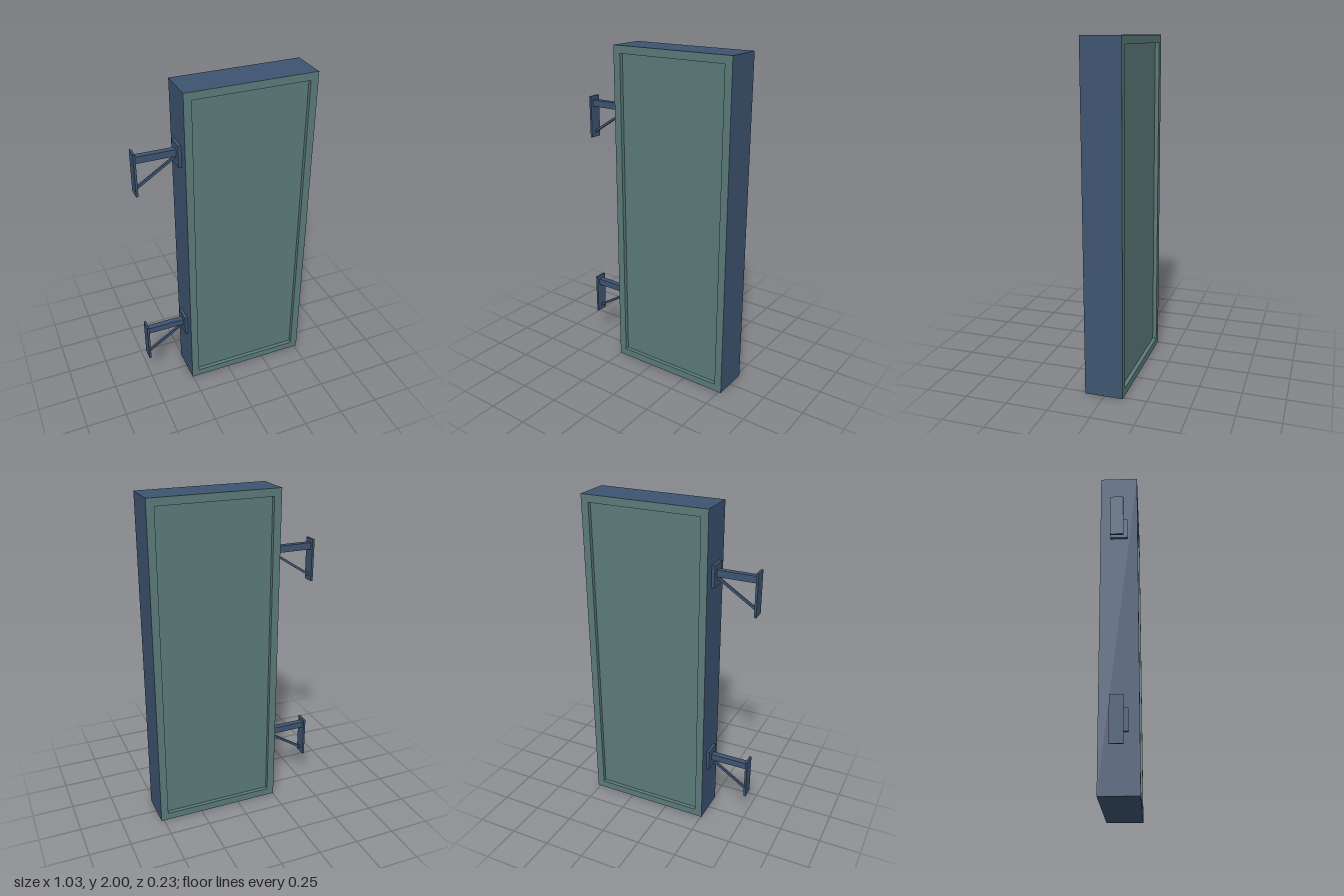
import * as THREE from 'three';

const navy = new THREE.MeshStandardMaterial({ color: 0x3d5470 });
navy.name = 'navy metal';
const green = new THREE.MeshStandardMaterial({ color: 0x5a7a78 });
green.name = 'grey green face';

const LEFT = -0.255, RIGHT = 0.517, HEIGHT = 2, DEPTH = 0.226;
const BORDER = 0.045, RECESS = 0.024;

function rectangle(path, x0, y0, x1, y1) {
  path.moveTo(x0, y0);
  path.lineTo(x1, y0);
  path.lineTo(x1, y1);
  path.lineTo(x0, y1);
  path.closePath();
  return path;
}

// Box given by its limits in x and y and its full width in z
function block(name, x0, x1, y0, y1, width, material) {
  const mesh = new THREE.Mesh(new THREE.BoxGeometry(x1 - x0, y1 - y0, width), material);
  mesh.position.set((x0 + x1) / 2, (y0 + y1) / 2, 0);
  mesh.name = name;
  return mesh;
}

// Casing: navy outside, green rims and recess walls
function createCasing() {
  const shape = rectangle(new THREE.Shape(), LEFT, 0, RIGHT, HEIGHT);
  shape.holes.push(rectangle(new THREE.Path(), LEFT + BORDER, BORDER, RIGHT - BORDER, HEIGHT - BORDER));
  const geometry = new THREE.ExtrudeGeometry(shape, { depth: DEPTH, bevelEnabled: false });
  geometry.translate(0, 0, -DEPTH / 2);
  // Side faces come outer contour first, then the hole
  const side = geometry.groups[1];
  const half = side.count / 2;
  geometry.clearGroups();
  geometry.addGroup(0, side.start, 0);
  geometry.addGroup(side.start, half, 1);
  geometry.addGroup(side.start + half, half, 0);
  const casing = new THREE.Mesh(geometry, [green, navy]);
  casing.name = 'casing';
  return casing;
}

// Wall bracket, with y measured from the middle of its arm
function createBracket(y) {
  const bracket = new THREE.Group();
  bracket.name = 'wallBracket';
  bracket.add(
    block('wallPlate', -0.517, -0.504, -0.212, 0.043, 0.074, navy),
    block('arm', -0.504, -0.273, -0.02, 0.02, 0.036, navy),
    block('mountingPlate', -0.273, LEFT, -0.075, 0.055, 0.104, navy)
  );
  // Diagonal strut from the wall plate up to the mounting plate
  const start = new THREE.Vector2(-0.508, -0.18), end = new THREE.Vector2(-0.27, -0.026);
  const strut = block('strut', 0, start.distanceTo(end), -0.007, 0.007, 0.014, navy);
  strut.position.set((start.x + end.x) / 2, (start.y + end.y) / 2, 0);
  strut.rotation.z = Math.atan2(end.y - start.y, end.x - start.x);
  bracket.add(strut);
  bracket.position.y = y;
  return bracket;
}

export function createModel() {
  const model = new THREE.Group();
  model.name = 'doubleSidedWallSign';
  model.add(createCasing());

  // Display panel, recessed on both faces
  model.add(block('displayPanel', LEFT + BORDER, RIGHT - BORDER, BORDER, HEIGHT - BORDER,
    DEPTH - 2 * RECESS, green));

  for (const y of [0.413, 1.626]) model.add(createBracket(y));
  return model;
}
